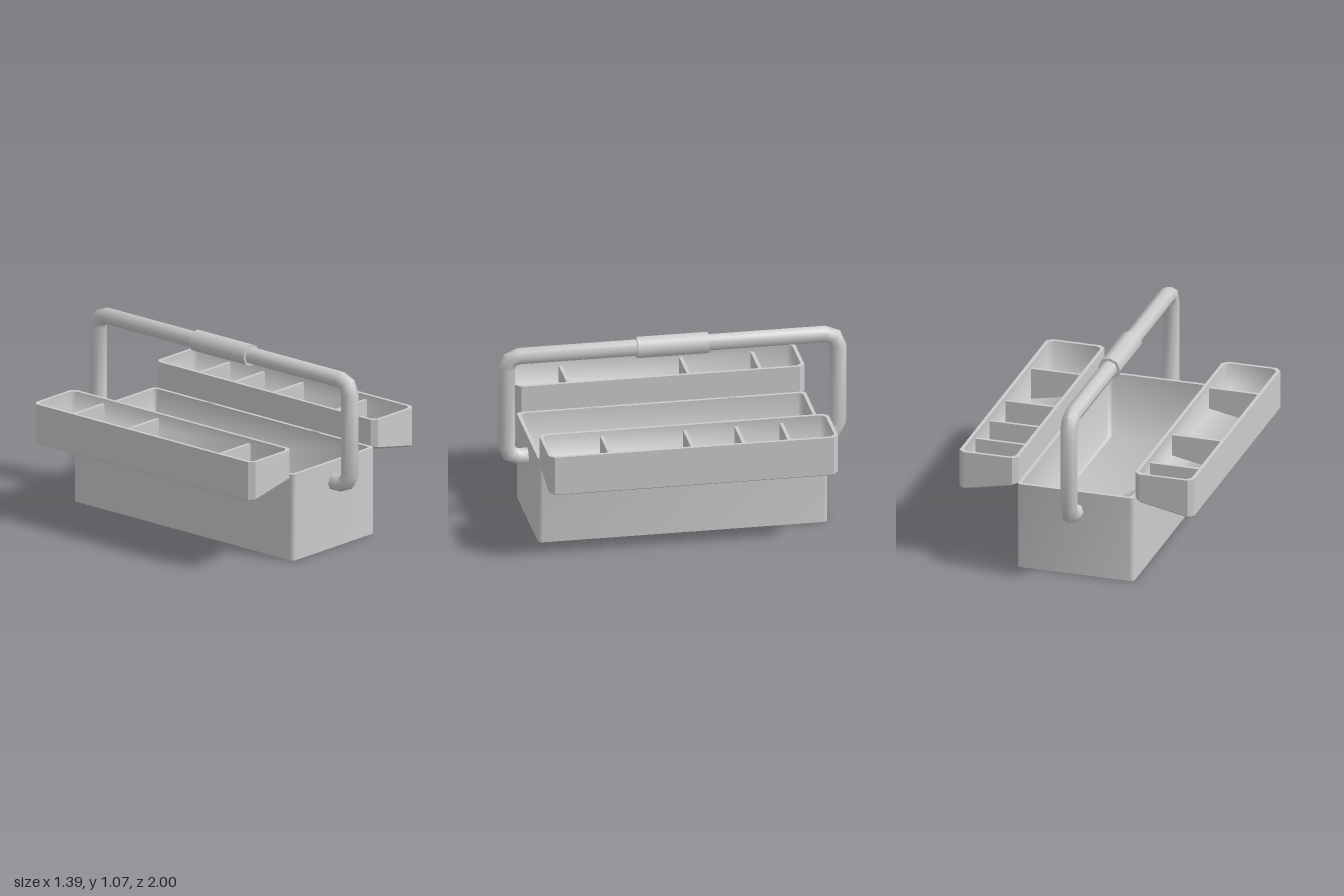
import * as THREE from 'three';
import { toCreasedNormals } from 'three/addons/utils/BufferGeometryUtils.js';

const material = new THREE.MeshStandardMaterial({ color: 0xcccccc });

function add(parent, geometry, name, x = 0, y = 0, z = 0) {
  const mesh = new THREE.Mesh(geometry, material);
  mesh.name = name;
  mesh.position.set(x, y, z);
  parent.add(mesh);
}

// Joins equal-sized rings of points with quads and caps the chosen ends.
function loft(rings, crease, capStart, capEnd) {
  const n = rings[0].length;
  const index = [];
  for (let r = 0; r < rings.length - 1; r++) {
    for (let i = 0; i < n; i++) {
      const a = r * n + i, b = r * n + (i + 1) % n;
      index.push(a, b, b + n, a, b + n, a + n);
    }
  }
  const last = (rings.length - 1) * n;
  for (let i = 1; i < n - 1; i++) {
    if (capStart) index.push(0, i + 1, i);
    if (capEnd) index.push(last, last + i, last + i + 1);
  }
  const geometry = new THREE.BufferGeometry().setFromPoints(rings.flat());
  geometry.setIndex(index);
  return toCreasedNormals(geometry, crease);
}

// Rectangle with cut or rounded corners; its height may slope along x.
function ring(hx, hz, corner, steps, y, slope = 0) {
  const points = [];
  [[1, 1], [-1, 1], [-1, -1], [1, -1]].forEach(([sx, sz], q) => {
    for (let s = 0; s <= steps; s++) {
      const a = (q + s / steps) * Math.PI / 2;
      const x = sx * (hx - corner) + corner * Math.cos(a);
      const z = -sz * (hz - corner) - corner * Math.sin(a);
      points.push(new THREE.Vector3(x, y + slope * x, z));
    }
  });
  return points;
}

const HZ = 0.83, WALL = 0.02;

// Main box with a floor raised above its thin-edged open base
function makeBox(group) {
  const hx = 0.346, top = 0.51;
  const outline = (inset, y) => ring(hx - inset, HZ - inset, 0.025, 3, y);
  add(group, loft([
    outline(0.004, 0.105), outline(0.004, 0), outline(0, 0), outline(0, top), outline(WALL, top),
  ], 0.6, true, false), 'boxShell');
  add(group, loft([outline(WALL, top), outline(WALL, 0.12)], Math.PI, false, true), 'boxLining');

  // thin hinge plates let into the rim
  for (const sx of [-1, 1]) {
    for (const z of [-0.4, 0.4]) {
      add(group, new THREE.BoxGeometry(0.006, 0.05, 0.06), 'hingePlate', sx * 0.331, top - 0.022, z);
    }
  }
}

// Sloped-bottom tray with dividers across it
function makeTray(side, dividers) {
  const tray = new THREE.Group();
  tray.name = side > 0 ? 'leftTray' : 'rightTray';
  tray.position.x = side * 0.52;
  const hx = 0.174, slope = -0.2 * side, base = 0.46, top = 0.664;
  const inset = 0.015;
  const innerTop = ring(hx - WALL, HZ - WALL, 0.025, 1, top);
  add(tray, loft([
    ring(hx - inset, HZ - inset, 0.025, 1, base, slope),
    ring(hx, HZ, 0.03, 1, base + 0.012, slope),
    ring(hx, HZ, 0.03, 1, top),
    innerTop,
  ], 0.5, true, false), 'trayShell');
  add(tray, loft([
    innerTop,
    ring(hx - WALL, HZ - WALL, 0.025, 1, base + 0.02, slope),
  ], Math.PI, false, true), 'trayLining');

  const w = hx - WALL + 0.005;
  const shape = new THREE.Shape([
    new THREE.Vector2(-w, base + 0.015 - slope * w),
    new THREE.Vector2(w, base + 0.015 + slope * w),
    new THREE.Vector2(w, 0.635),
    new THREE.Vector2(-w, 0.635),
  ]);
  const panel = new THREE.ExtrudeGeometry(shape, { depth: 0.02, bevelEnabled: false });
  for (const z of dividers) add(tray, panel, 'divider', 0, 0, z - 0.01);
  return tray;
}

// Bent eight-sided tube handle with a thicker grip
function makeHandle(group) {
  const r = 0.05, bend = 0.07, reach = 0.95, low = 0.389, high = 1.003;
  // each stop is z, y and the angle of the tube's outward side
  const path = [[-0.82, low, -Math.PI / 2]];
  const corners = [[-1, low + bend, -Math.PI / 2], [-1, high - bend, Math.PI],
    [1, high - bend, Math.PI / 2], [1, low + bend, 0]];
  for (const [s, cy, start] of corners) {
    for (let i = 0; i <= 2; i++) {
      const a = start - i * Math.PI / 4;
      path.push([s * (reach - bend) + bend * Math.cos(a), cy + bend * Math.sin(a), a]);
    }
  }
  path.push([0.82, low, -Math.PI / 2]);
  const rings = path.map(([z, y, a]) => Array.from({ length: 8 }, (_, i) => {
    const t = -i * Math.PI / 4;
    const out = r * Math.cos(t);
    return new THREE.Vector3(r * Math.sin(t), y + out * Math.sin(a), z + out * Math.cos(a));
  }));
  add(group, loft(rings, 1, true, true), 'handleTube');

  const grip = new THREE.CylinderGeometry(0.065, 0.065, 0.41, 8);
  grip.rotateX(Math.PI / 2);
  add(group, grip, 'handleGrip', 0, high, 0);
}

export function createModel() {
  const group = new THREE.Group();
  group.name = 'toolbox';
  makeBox(group);
  group.add(makeTray(1, [-0.56, -0.3, -0.005, 0.47]));
  group.add(makeTray(-1, [-0.585, -0.175, 0.515]));
  makeHandle(group);
  return group;
}
